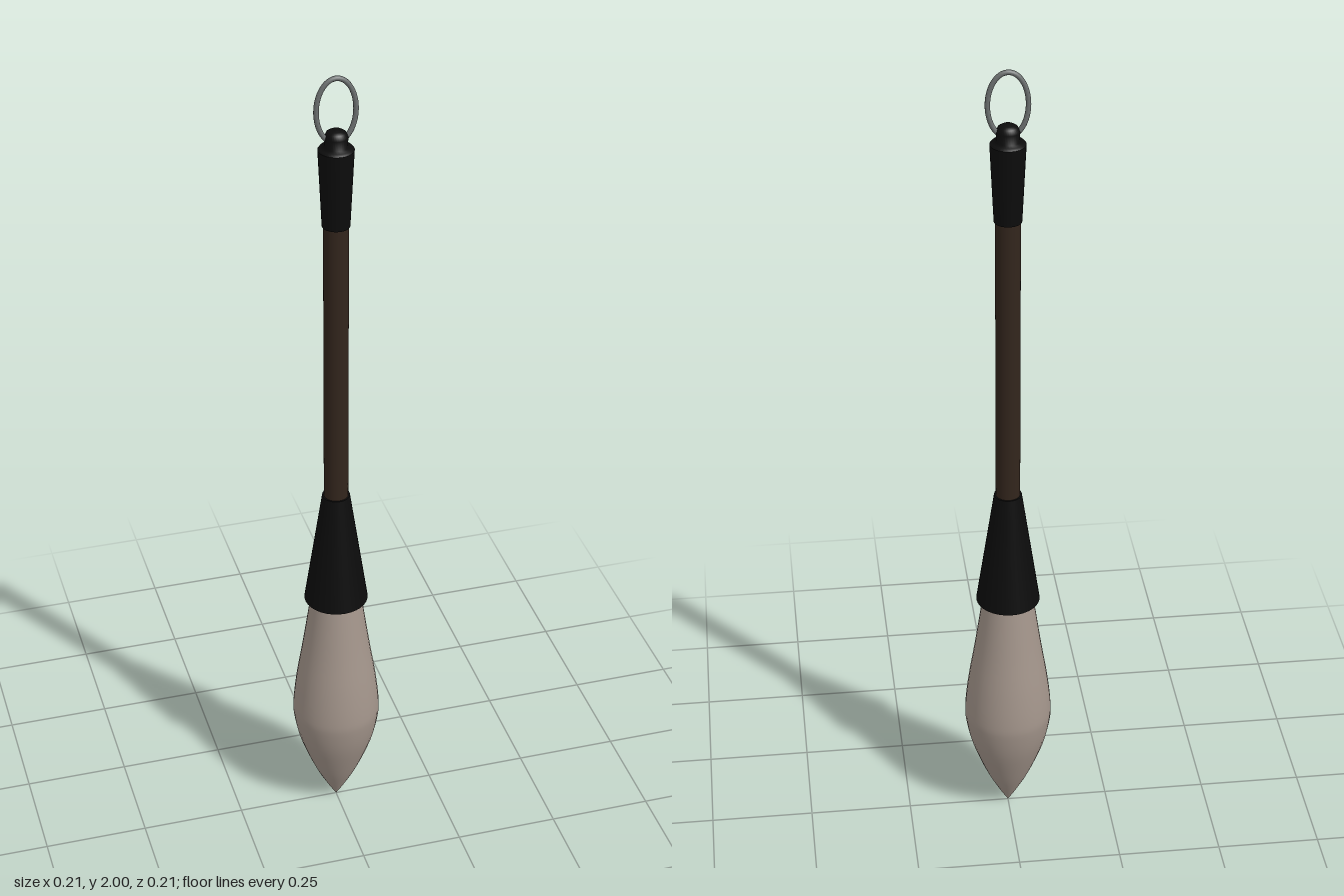
import * as THREE from 'three';

const SEGMENTS = 32;

export function createModel() {
  const brush = new THREE.Group();
  brush.name = 'brush';

  const material = (color) => new THREE.MeshStandardMaterial({ color });
  const black = material(0x0c0c0c);
  const wood = material(0x32251c);
  const hair = material(0xa3958b);
  const metal = material(0x6c7070);

  const add = (name, geometry, mat) => {
    const mesh = new THREE.Mesh(geometry, mat);
    mesh.name = name;
    brush.add(mesh);
    return mesh;
  };
  const vectors = (points) => points.map(([r, y]) => new THREE.Vector2(r, y));
  // Truncated cone standing between two heights
  const tapered = (name, y0, y1, r0, r1, mat) => {
    const geometry = new THREE.CylinderGeometry(r1, r0, y1 - y0, SEGMENTS);
    add(name, geometry, mat).position.y = (y0 + y1) / 2;
  };

  // Teardrop of hair, pointed at the bottom and hidden in the ferrule at the top
  const outline = new THREE.SplineCurve(vectors([
    [0, 0], [0.026, 0.045], [0.056, 0.105], [0.09, 0.195], [0.105, 0.265],
    [0.106, 0.31], [0.097, 0.39], [0.081, 0.49], [0.062, 0.62], [0.056, 0.66],
  ])).getPoints(36);
  outline[0].x = 0;
  add('bristles', new THREE.LatheGeometry(outline, SEGMENTS), hair);

  // Ferrule, handle and end cap along one axis
  tapered('ferrule', 0.623, 0.92, 0.077, 0.033, black);
  tapered('handle', 0.9, 1.66, 0.029, 0.029, wood);
  tapered('endCap', 1.638, 1.825, 0.032, 0.041, black);

  // Small rounded knob holding the ring
  const knob = vectors([
    [0.041, 1.825], [0.037, 1.83], [0.026, 1.832], [0.027, 1.855], [0.022, 1.866], [0.014, 1.871], [0, 1.872],
  ]);
  add('knob', new THREE.LatheGeometry(knob, SEGMENTS), black);

  // Upright oval hanging ring of even thickness
  const oval = new THREE.CatmullRomCurve3(
    Array.from({ length: 24 }, (_, i) => {
      const a = (i / 24) * Math.PI * 2;
      return new THREE.Vector3(Math.cos(a) * 0.045, 1.918 + Math.sin(a) * 0.076, 0);
    }), true);
  add('hangingRing', new THREE.TubeGeometry(oval, 64, 0.006, 10, true), metal);

  return brush;
}
